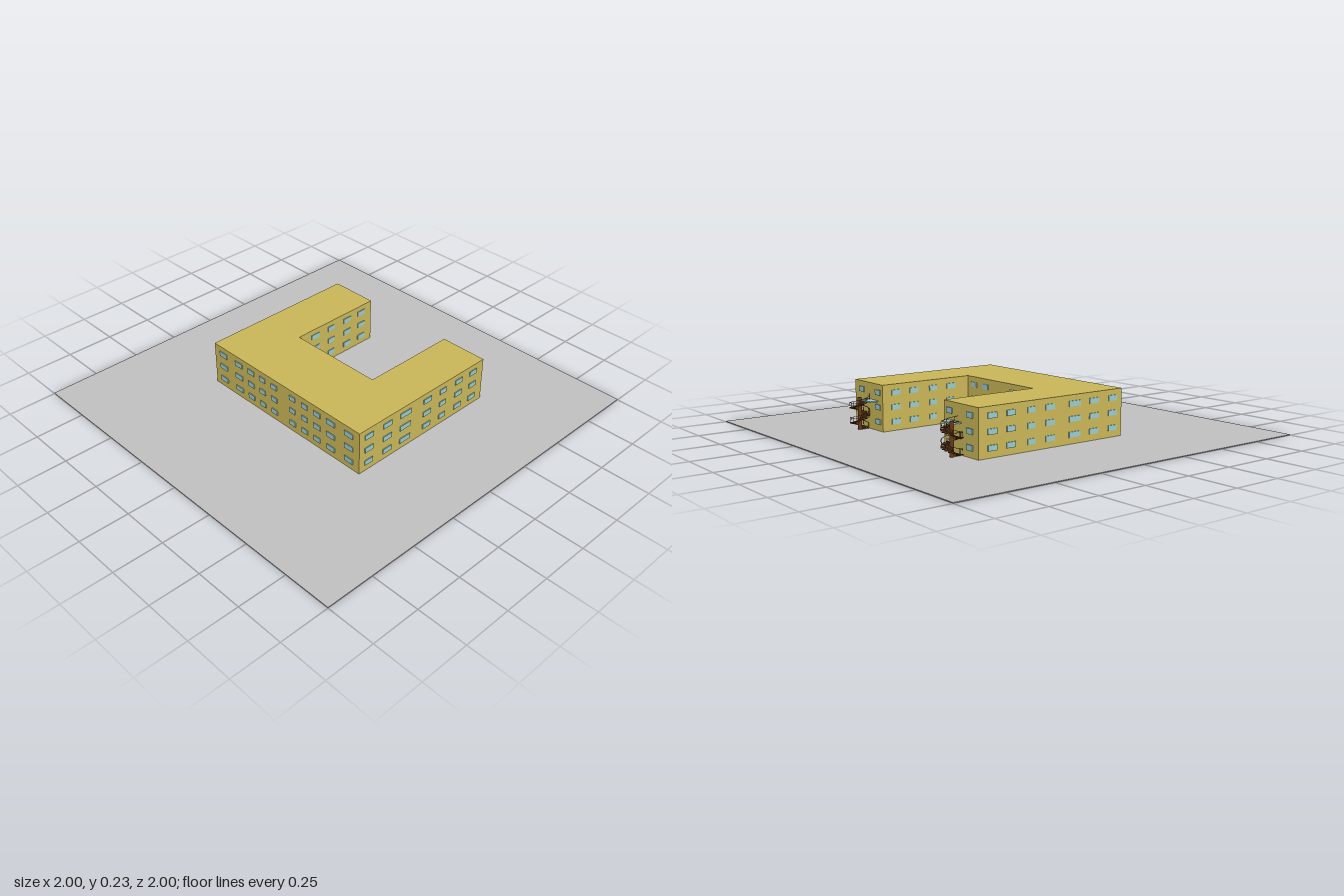
import * as THREE from 'three';

const mat = (name, color) => Object.assign(new THREE.MeshStandardMaterial({ color }), { name });

export function createModel() {
  const wall = mat('wallYellow', 0xc9b658), glass = mat('paleBlue', 0x9acbcd);
  const ground = mat('groundGrey', 0xbfbfbf), wood = mat('stairBrown', 0x6b3a18), steel = mat('railDark', 0x453a32);
  const root = new THREE.Group();
  root.name = 'courtyardBuilding';

  const add = (parent, name, geo, material, x = 0, y = 0, z = 0, ry = 0) => {
    const m = new THREE.Mesh(geo, material);
    m.name = name;
    m.position.set(x, y, z);
    m.rotation.y = ry;
    parent.add(m);
    return m;
  };
  const box = (w, h, d) => new THREE.BoxGeometry(w, h, d);

  // Ground slab
  add(root, 'ground', box(2, 0.004, 2), ground, 0, 0.002, 0);

  // U-shaped block, drawn in plan (shape y = -z) and raised
  const W = 0.512, IN = 0.258, FRONT = 0.34, BACK = -0.515, H = 0.232;
  const plan = new THREE.Shape([
    [-W, -FRONT], [W, -FRONT], [W, -BACK], [IN, -BACK],
    [IN, 0], [-IN, 0], [-IN, -BACK], [-W, -BACK],
  ].map(([x, y]) => new THREE.Vector2(x, y)));
  const body = new THREE.ExtrudeGeometry(plan, { depth: H, bevelEnabled: false });
  body.rotateX(-Math.PI / 2);
  add(root, 'building', body, wall, 0, 0.003, 0);

  // Three floors of windows along each wall; entries are [position, width]
  const windows = new THREE.Group();
  windows.name = 'windows';
  root.add(windows);
  const rows = [0.049, 0.122, 0.194];
  const alongX = (z, list) => rows.forEach(y => list.forEach(([x, w]) =>
    add(windows, 'window', box(w, 0.026, 0.009), glass, x, y, z)));
  const alongZ = (x, list) => rows.forEach(y => list.forEach(([z, w]) =>
    add(windows, 'window', box(0.009, 0.026, w), glass, x, y, z)));
  const mirror = list => list.flatMap(([x, w]) => [[x, w], [-x, w]]);

  alongX(FRONT, mirror([[0.065, 0.04], [0.15, 0.04], [0.235, 0.045], [0.327, 0.053], [0.445, 0.053]]));
  alongX(0, mirror([[0.11, 0.045], [0.205, 0.045]]));
  alongX(BACK, mirror([[0.45, 0.045], [0.3, 0.045]]));
  const wingWindows = [[-0.11, 0.053], [-0.22, 0.043], [-0.335, 0.05], [-0.44, 0.05]];
  for (const s of [-1, 1]) {
    alongZ(s * W, [[0.28, 0.053], [0.16, 0.055], [0.04, 0.07], ...wingWindows]);
    alongZ(s * IN, wingWindows);
  }

  // Courtyard entrance canopy on two posts
  const porch = new THREE.Group();
  porch.name = 'entrance';
  root.add(porch);
  add(porch, 'canopy', box(0.125, 0.006, 0.07), glass, 0, 0.08, -0.035);
  for (const s of [-1, 1])
    add(porch, 'canopyPost', new THREE.CylinderGeometry(0.003, 0.003, 0.078, 8), steel, s * 0.057, 0.041, -0.064);

  // Spiral fire stairs behind each wing
  const spiralStair = side => {
    const g = new THREE.Group();
    g.name = side > 0 ? 'leftStair' : 'rightStair';
    g.position.set(side * 0.388, 0, -0.567);
    add(g, 'pole', new THREE.CylinderGeometry(0.01, 0.01, 0.165, 12), wood, 0, 0.0825, 0);
    const N = 36, R = 0.05, rail = [];
    for (let i = 0; i < N; i++) {
      const a = side * (i / 18) * Math.PI * 2, y = 0.006 + i * 0.0042;
      const c = Math.sin(a), d = Math.cos(a);
      add(g, 'tread', box(0.009, 0.004, 0.044), wood, c * 0.028, y, d * 0.028, a);
      if (i % 2 === 0)
        add(g, 'baluster', box(0.0015, 0.026, 0.0015), steel, c * R * 0.97, y + 0.013, d * R * 0.97, a);
      rail.push(new THREE.Vector3(c * R * 0.97, y + 0.026, d * R * 0.97));
    }
    add(g, 'handrail', new THREE.TubeGeometry(new THREE.CatmullRomCurve3(rail), 90, 0.0012, 5), steel);

    // Upper landing joining the stair to the wing
    add(g, 'landing', box(0.09, 0.006, 0.045), glass, -side * 0.043, 0.15, 0.0295);
    return g;
  };
  root.add(spiralStair(1), spiralStair(-1));

  return root;
}
